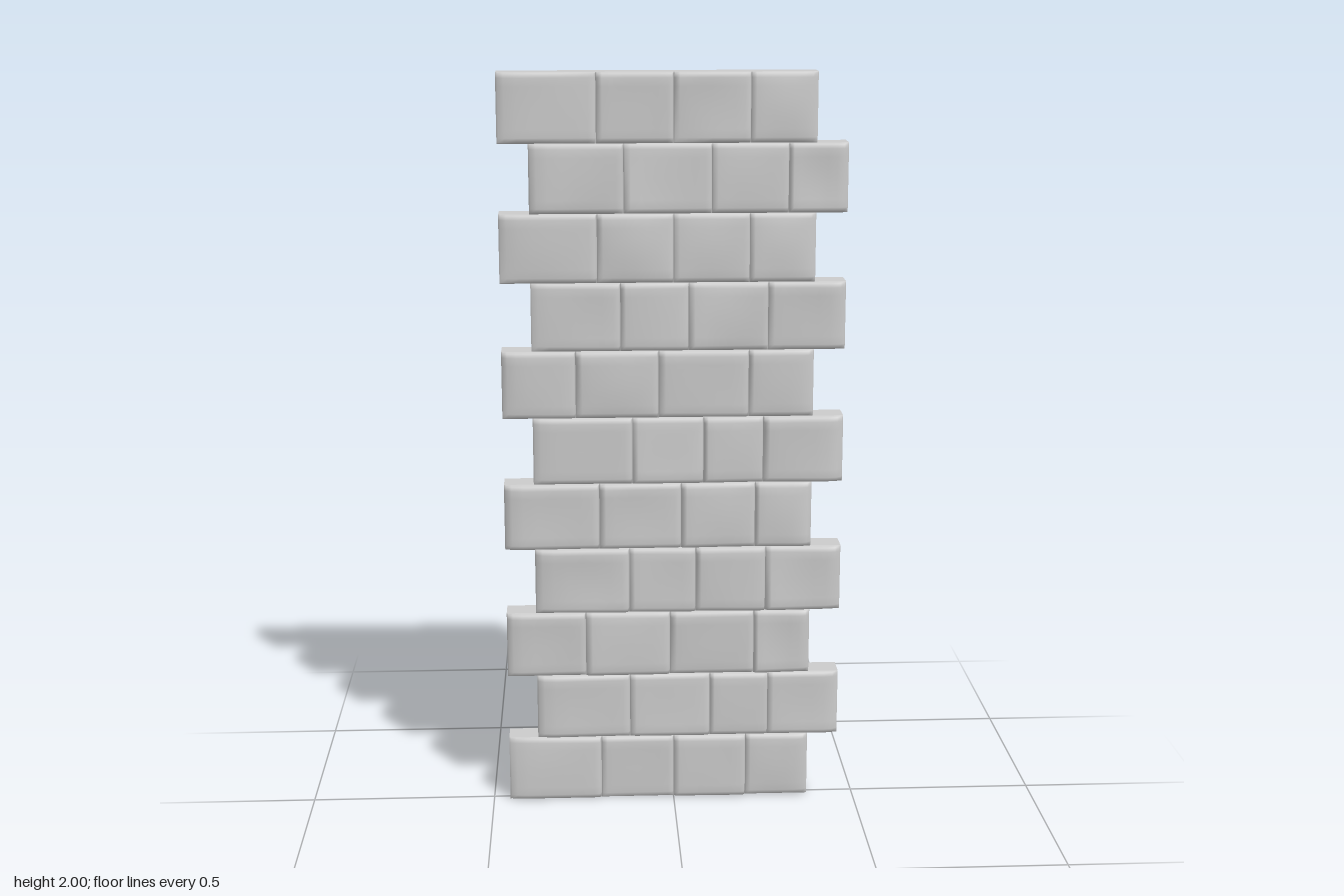
import * as THREE from 'three';

const BACK = -0.05, SEAM = 0.016, Y0 = 0.004, ROW = 1.996 / 11;
const rowY = (r) => Y0 + r * ROW;
// Alternate courses are shifted sideways, giving the toothed edges
const rowEnds = (r) => (r % 2 ? [-0.375, 0.455] : [-0.455, 0.373]);
// Vertical joints of each course, from the bottom up
const JOINTS = [
  [-0.2, 0, 0.2], [-0.12, 0.1, 0.26], [-0.24, -0.01, 0.22], [-0.12, 0.06, 0.25],
  [-0.2, 0.02, 0.22], [-0.11, 0.08, 0.24], [-0.26, -0.04, 0.2], [-0.14, 0.04, 0.25],
  [-0.2, 0, 0.2], [-0.13, 0.1, 0.3], [-0.2, 0, 0.2],
];

function seeded(seed) {
  let s = seed;
  return () => (s = (s * 16807) % 2147483647) / 2147483647;
}

// Uneven brick face: four corner heights blended, with the rim rolled back to the seam
function brickFace(x0, x1, y0, y1, lift, rand, roundL, roundR) {
  const steps = [0, 0.02, 0.08, 0.2, 0.35, 0.5, 0.65, 0.8, 0.92, 0.98, 1];
  const n = steps.length - 1;
  const geo = new THREE.PlaneGeometry(1, 1, n, n);
  const pos = geo.attributes.position;
  const h = [0, 1, 2, 3, 4].map(() => 0.021 + lift + 0.014 * rand());
  const ease = (d, w) => {
    const t = 1 - Math.min(d / w, 1);
    return Math.sqrt(1 - t * t);
  };
  for (let j = 0; j <= n; j++) {
    for (let i = 0; i <= n; i++) {
      const u = steps[i], v = steps[j];
      const su = THREE.MathUtils.smoothstep(u, 0, 1), sv = THREE.MathUtils.smoothstep(v, 0, 1);
      const lerp = THREE.MathUtils.lerp;
      let z = lerp(lerp(h[0], h[1], su), lerp(h[2], h[3], su), sv);
      z += (h[4] - z) * Math.sin(Math.PI * u) * Math.sin(Math.PI * v) * 0.6;
      const rim = ease(u, roundL ? 0.2 : 0.04) * ease(1 - u, roundR ? 0.2 : 0.04)
        * ease(v, 0.05) * ease(1 - v, 0.05);
      pos.setXYZ(j * (n + 1) + i, lerp(x0, x1, u), lerp(y1, y0, v), lerp(SEAM, z, rim));
    }
  }
  geo.computeVertexNormals();
  return geo;
}

// Outline of the panel, counter-clockwise seen from the front
function outline() {
  const right = [], left = [];
  for (let r = 0; r < 11; r++) {
    const [a, b] = rowEnds(r);
    right.push([b, rowY(r)], [b, rowY(r + 1)]);
    left.push([a, rowY(r)], [a, rowY(r + 1)]);
  }
  return [...right, ...left.reverse()];
}

// Thin border wall running from the seam depth to the open back
function borderWall() {
  const pts = outline(), pos = [], index = [];
  pts.forEach(([x, y], i) => {
    const [nx, ny] = pts[(i + 1) % pts.length];
    const k = pos.length / 3;
    pos.push(x, y, BACK, nx, ny, BACK, nx, ny, SEAM, x, y, SEAM);
    index.push(k, k + 1, k + 2, k, k + 2, k + 3);
  });
  const geo = new THREE.BufferGeometry();
  geo.setAttribute('position', new THREE.Float32BufferAttribute(pos, 3));
  geo.setIndex(index);
  geo.computeVertexNormals();
  return geo;
}

export function createModel() {
  const model = new THREE.Group();
  model.name = 'brickPanel';
  const material = new THREE.MeshStandardMaterial({ color: 0xcccccc, side: THREE.DoubleSide });
  const rand = seeded(4711);

  // Courses of bricks
  JOINTS.forEach((joints, r) => {
    const course = new THREE.Group();
    course.name = `brickCourse${r + 1}`;
    const [a, b] = rowEnds(r);
    const xs = [a, ...joints, b];
    const lift = 0.007 * (1 - Math.abs(r - 4.5) / 5.5);
    for (let i = 0; i < xs.length - 1; i++) {
      const geo = brickFace(xs[i], xs[i + 1], rowY(r), rowY(r + 1), lift, rand, i === 0, i === xs.length - 2);
      const brick = new THREE.Mesh(geo, material);
      brick.name = 'brick';
      course.add(brick);
    }
    model.add(course);
  });

  // Border
  const wall = new THREE.Mesh(borderWall(), material);
  wall.name = 'borderWall';
  model.add(wall);
  return model;
}
